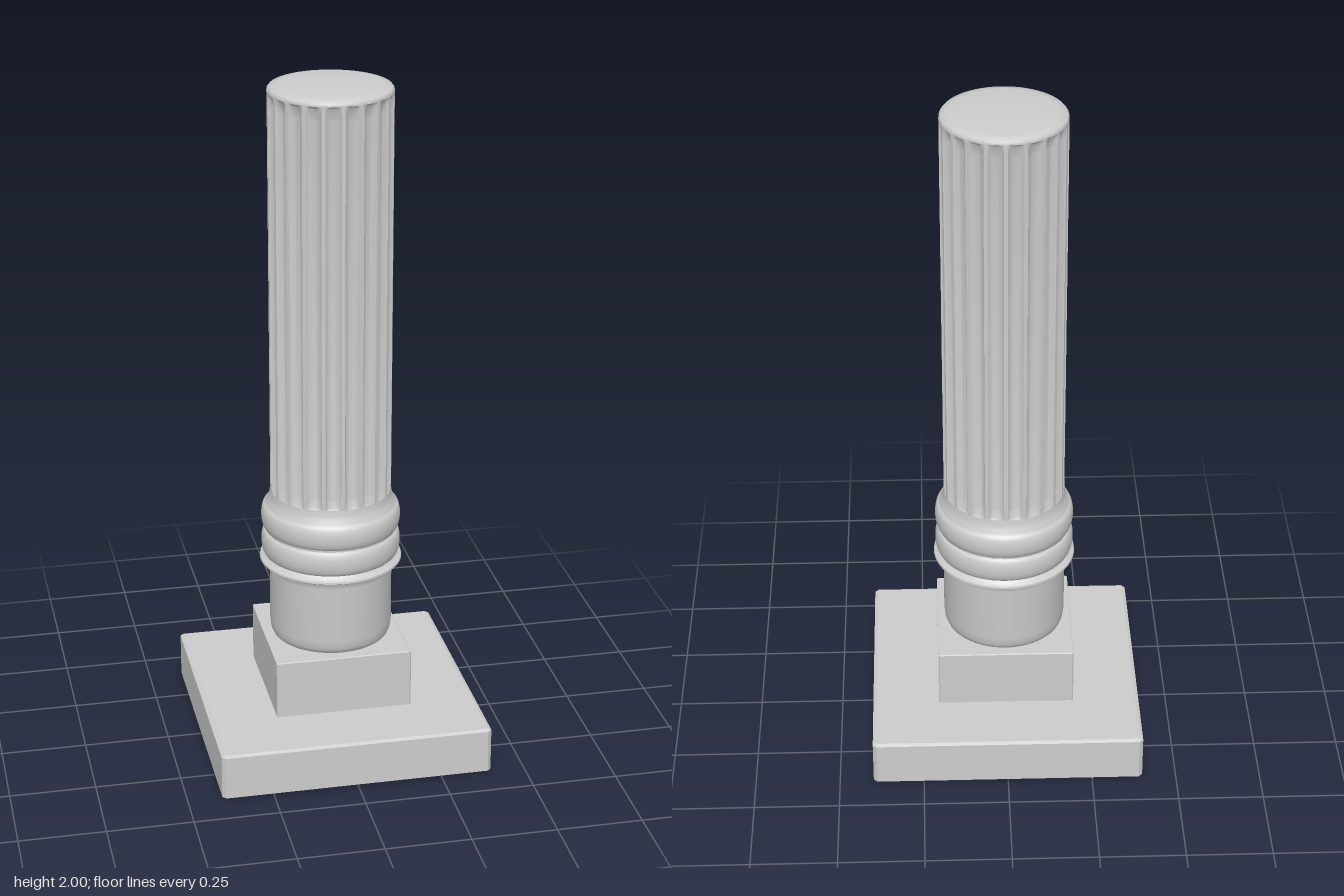
import * as THREE from 'three';
import { toCreasedNormals } from 'three/addons/utils/BufferGeometryUtils.js';

const stone = new THREE.MeshStandardMaterial({ color: 0xcccccc });
stone.name = 'paleStone';

const FLUTES = 20;

function addMesh(group, name, geometry, crease) {
  const mesh = new THREE.Mesh(toCreasedNormals(geometry, crease), stone);
  mesh.name = name;
  group.add(mesh);
}

// Square slab with narrow chamfers on every edge
function slab(half, y0, y1, c) {
  const h = half - c, k = h - c * 0.5;
  const s = new THREE.Shape([
    [h, -k], [h, k], [k, h], [-k, h], [-h, k], [-h, -k], [-k, -h], [k, -h],
  ].map(([x, y]) => new THREE.Vector2(x, y)));
  const t = c * 0.5;
  const g = new THREE.ExtrudeGeometry(s, {
    depth: y1 - y0 - 2 * t, bevelEnabled: true, bevelSegments: 1, bevelSize: c, bevelThickness: t,
  });
  g.rotateX(-Math.PI / 2);
  g.translate(0, y0 + t, 0);
  return g;
}

const lathe = (points, segments) =>
  new THREE.LatheGeometry(points.map(([r, y]) => new THREE.Vector2(r, y)), segments);

// Points of a convex half-round moulding
function roll(radius, bulge, y0, y1) {
  return Array.from({ length: 9 }, (_, i) => {
    const a = (i / 8 - 0.5) * Math.PI;
    return [radius + bulge * Math.cos(a), (y0 + y1) / 2 + (y1 - y0) / 2 * Math.sin(a)];
  });
}

// Shaft whose round flutes fade out at both ends
function flutedShaft() {
  const y0 = 0.77, y1 = 1.978, fade = 0.04;
  const pts = [];
  for (let i = 0; i <= 8; i++) pts.push([0.178, y0 + fade * i / 8]);
  for (let i = 0; i <= 8; i++) pts.push([0.178, y1 - fade + fade * i / 8]);
  // softly rounded rim and shallow domed top
  pts.push([0.177, 1.985], [0.172, 1.991], [0.15, 1.995], [0.08, 1.999], [0, 2]);
  const g = lathe(pts, FLUTES * 10);
  const p = g.attributes.position;
  for (let i = 0; i < p.count; i++) {
    const x = p.getX(i), y = p.getY(i), z = p.getZ(i), r = Math.hypot(x, z);
    if (y > y1 || r < 0.17) continue;
    const a = Math.atan2(x, z) * FLUTES / (2 * Math.PI);
    const u = (1 - 2 * Math.abs(a - Math.round(a))) / 0.8;
    const end = THREE.MathUtils.clamp(Math.min(y - y0, y1 - y) / fade, 0, 1);
    const depth = 0.016 * Math.sqrt(Math.max(0, 1 - u * u)) * Math.sqrt(end);
    p.setXYZ(i, x * (r - depth) / r, y, z * (r - depth) / r);
  }
  return g;
}

export function createModel() {
  const column = new THREE.Group();
  column.name = 'column';

  // Stepped square base
  addMesh(column, 'basePlinth', slab(0.4, 0, 0.14, 0.01), 0.3);
  addMesh(column, 'upperPlinth', slab(0.202, 0.14, 0.318, 0.004), 0.3);

  // Plain round drum with a softened foot
  addMesh(column, 'drum', lathe([
    [0.165, 0.316], [0.173, 0.323], [0.178, 0.335], [0.181, 0.36], [0.181, 0.53], [0.183, 0.548], [0.19, 0.556],
  ], 64), 0.7);

  // Thin lip, two rolls and a sloping collar
  addMesh(column, 'mouldings', lathe([
    [0.18, 0.553], [0.2, 0.556], [0.21, 0.562], [0.209, 0.568], [0.197, 0.574],
    ...roll(0.192, 0.013, 0.58, 0.656),
    ...roll(0.192, 0.013, 0.662, 0.736),
    [0.19, 0.742], [0.184, 0.752], [0.18, 0.765], [0.178, 0.782],
  ], 64), 0.9);

  addMesh(column, 'flutedShaft', flutedShaft(), 0.8);
  return column;
}
